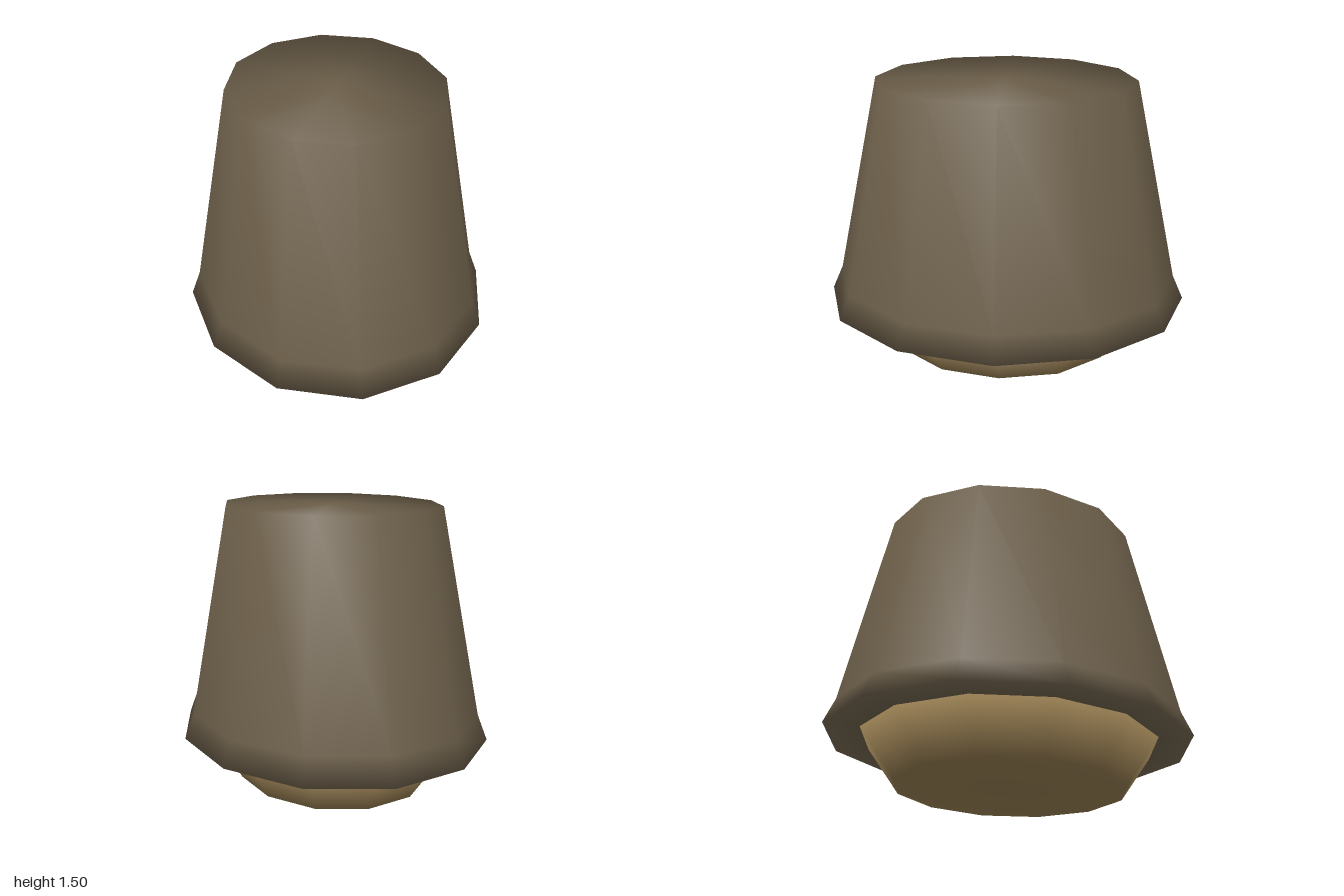
import * as THREE from 'three';
import { mergeVertices } from 'three/addons/utils/BufferGeometryUtils.js';

const SIDES = 12;
const X_RATIO = 0.83; // oval plan: narrower across than front to back

// Closed, smooth-shaded oval solid from a [radius, height] profile, bottom to top
function ovalSolid(name, profile, material) {
  const points = profile.map(([r, y]) => new THREE.Vector2(r, y));
  const lathe = new THREE.LatheGeometry(points, SIDES);
  lathe.scale(X_RATIO, 1, 1);
  lathe.deleteAttribute('uv');
  lathe.deleteAttribute('normal');
  const geometry = mergeVertices(lathe, 1e-4);
  geometry.computeVertexNormals();
  const mesh = new THREE.Mesh(geometry, material);
  mesh.name = name;
  return mesh;
}

export function createModel() {
  const group = new THREE.Group();
  group.name = 'taperedCap';
  const brown = new THREE.MeshStandardMaterial({ color: 0x6b5e49 });
  brown.name = 'darkBrown';
  const tan = new THREE.MeshStandardMaterial({ color: 0x8f774d });
  tan.name = 'tan';

  // Tapered upper body with a flared lip and flat underside
  group.add(ovalSolid('upperBody', [
    [0.81, 0.255], [1, 0.255], [0.94, 0.39], [0.695, 1.5], [0, 1.5],
  ], brown));

  // Base narrowing towards the ground
  group.add(ovalSolid('base', [
    [0, 0], [0.628, 0], [0.81, 0.255], [0, 0.255],
  ], tan));

  return group;
}
